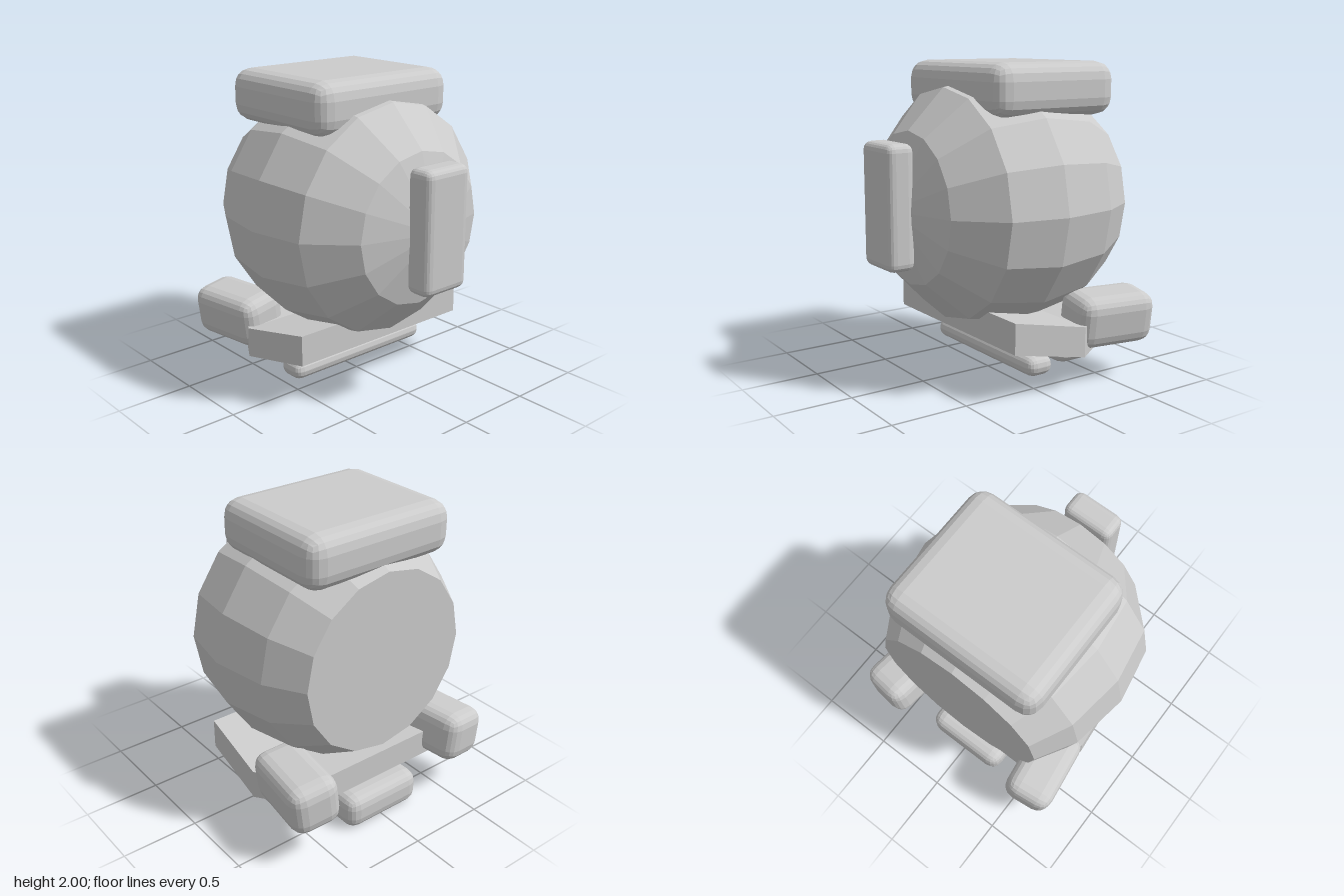
import * as THREE from 'three';
import { RoundedBoxGeometry } from 'three/addons/geometries/RoundedBoxGeometry.js';

const material = new THREE.MeshStandardMaterial({ color: 0xcccccc, flatShading: true });

function part(name, geometry, parent) {
  const mesh = new THREE.Mesh(geometry, material);
  mesh.name = name;
  parent.add(mesh);
  return mesh;
}

// Rounded block given by its min and max corners
function block(name, min, max, radius, parent) {
  const s = max.map((v, i) => v - min[i]);
  const mesh = part(name, new RoundedBoxGeometry(s[0], s[1], s[2], 2, radius), parent);
  mesh.position.set(...max.map((v, i) => (v + min[i]) / 2));
  return mesh;
}

// Solid lofted along x from rectangular sections [x, halfWidth, bottom, top]
function loft(sections) {
  const pos = [];
  const index = [];
  for (const [x, w, b, t] of sections) pos.push(x, b, w, x, b, -w, x, t, -w, x, t, w);
  for (let i = 0; i < sections.length - 1; i++) {
    for (let j = 0; j < 4; j++) {
      const a = i * 4 + j, b = i * 4 + (j + 1) % 4;
      index.push(a, b, b + 4, a, b + 4, a + 4);
    }
  }
  const e = (sections.length - 1) * 4;
  index.push(0, 3, 2, 0, 2, 1, e, e + 1, e + 2, e, e + 2, e + 3);
  const g = new THREE.BufferGeometry();
  g.setAttribute('position', new THREE.Float32BufferAttribute(pos, 3));
  g.setIndex(index);
  const flat = g.toNonIndexed();
  flat.computeVertexNormals();
  return flat;
}

export function createModel() {
  const model = new THREE.Group();
  model.name = 'model';

  // Faceted round body turned about the x axis, cut flat at the -x end
  const profile = [[0, -0.645], [0.585, -0.645], [0.73, -0.4], [0.79, -0.03],
    [0.725, 0.33], [0.475, 0.58], [0, 0.71]].map(([r, x]) => new THREE.Vector2(r, x));
  const body = part('body', new THREE.LatheGeometry(profile, 16), model);
  body.rotation.z = -Math.PI / 2;
  body.position.y = 1.12;

  // Blocks on the top, the +x end and underneath
  block('topPad', [-0.615, 1.67, -0.53], [0.295, 2, 0.53], 0.11, model);
  block('endPlate', [0.63, 0.77, -0.172], [0.81, 1.535, 0.172], 0.05, model);
  block('rearFoot', [-0.695, 0, -0.285], [-0.38, 0.23, 0.285], 0.08, model);
  block('crossBar', [-0.13, 0.08, -0.545], [0.06, 0.205, 0.545], 0.06, model);

  // Sloping base tray, narrowing towards -x
  part('baseTray', loft([
    [-0.58, 0.5, 0.245, 0.42],
    [-0.24, 0.7, 0.213, 0.405],
    [0.26, 0.66, 0.31, 0.505],
  ]), model);

  // Mirrored side pads, splayed outwards
  for (const side of [1, -1]) {
    const pad = part(side > 0 ? 'frontSidePad' : 'backSidePad',
      new RoundedBoxGeometry(0.55, 0.33, 0.33, 2, 0.09), model);
    pad.position.set(-0.52, 0.407, side * 0.575);
    pad.rotation.set(side * 0.12, side * 0.13, 0);
  }

  return model;
}
